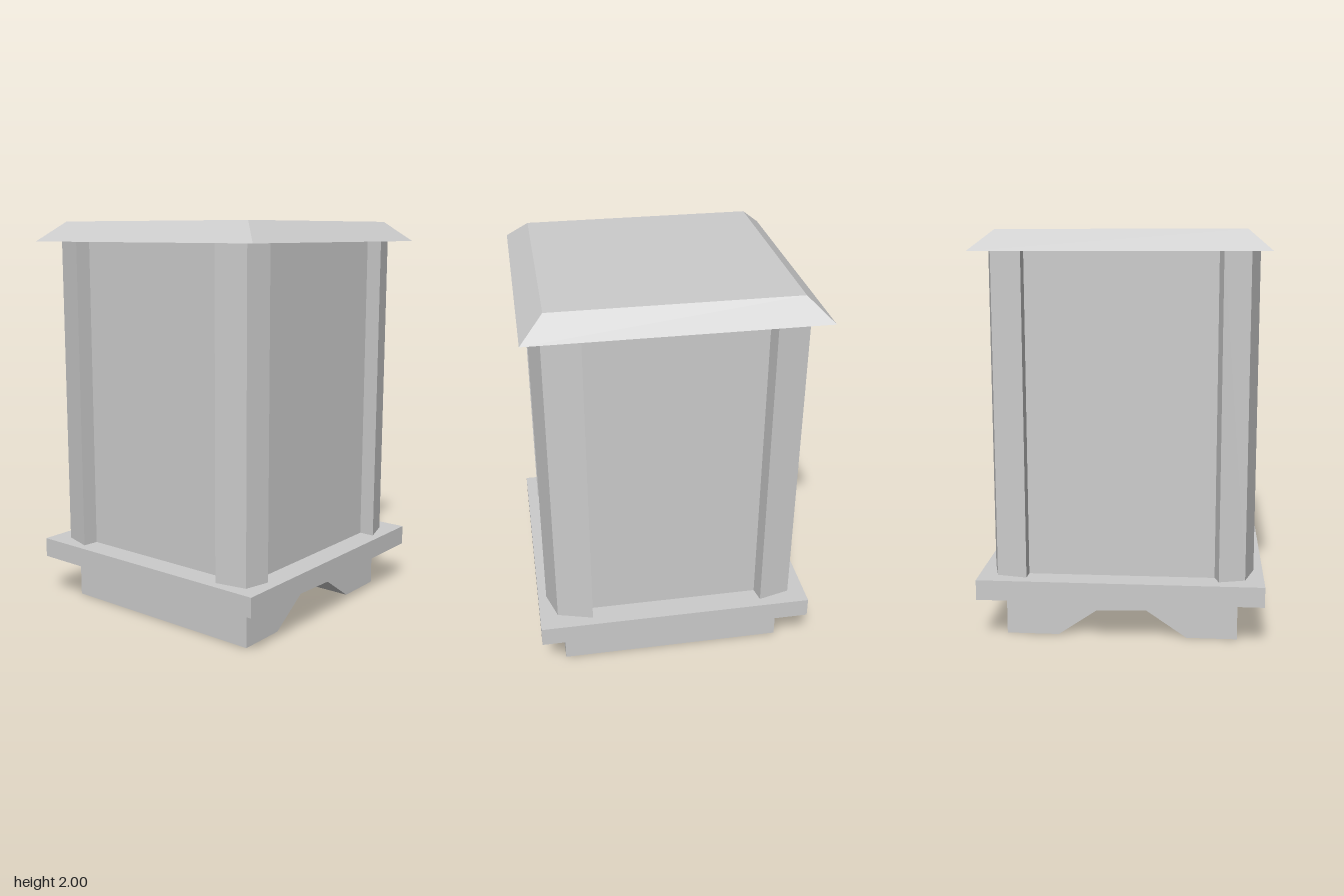
import * as THREE from 'three';

const material = new THREE.MeshStandardMaterial({ color: 0xcccccc, flatShading: true });

function add(group, name, geometry, x = 0, y = 0, z = 0) {
  const mesh = new THREE.Mesh(geometry, material);
  mesh.name = name;
  mesh.position.set(x, y, z);
  group.add(mesh);
  return mesh;
}

function extrude(points, depth) {
  const shape = new THREE.Shape(points.map(([x, y]) => new THREE.Vector2(x, y)));
  return new THREE.ExtrudeGeometry(shape, { depth, bevelEnabled: false });
}

export function createModel() {
  const group = new THREE.Group();
  const wallBottom = 0.32, wallTop = 1.9, wallHeight = wallTop - wallBottom;

  // Foot with an uneven arched passage running front to back
  const foot = [
    [-0.575, 0], [-0.325, 0], [-0.125, 0.137], [0.125, 0.13],
    [0.315, 0], [0.575, 0], [0.575, 0.22], [-0.575, 0.22],
  ];
  add(group, 'foot', extrude(foot, 1.14), 0, 0, -0.565);

  // Ledge and main body
  add(group, 'ledge', new THREE.BoxGeometry(1.4, 0.1, 1.394), 0, 0.27, 0);
  add(group, 'body', new THREE.BoxGeometry(1.15, wallHeight, 1.15), 0, wallBottom + wallHeight / 2, 0);

  // Slightly irregular corner posts, outlines given as [x, z]
  const posts = {
    frontLeftPost: [[0.445, 0.655], [0.60, 0.606], [0.65, 0.43], [0.45, 0.43]],
    frontRightPost: [[-0.495, 0.64], [-0.625, 0.61], [-0.655, 0.45], [-0.45, 0.42]],
    backLeftPost: [[0.65, -0.45], [0.608, -0.61], [0.46, -0.64], [0.45, -0.41]],
    backRightPost: [[-0.48, -0.637], [-0.608, -0.602], [-0.655, -0.445], [-0.41, -0.42]],
  };
  for (const [name, outline] of Object.entries(posts)) {
    const geometry = extrude(outline.map(([x, z]) => [x, -z]), wallHeight);
    geometry.rotateX(-Math.PI / 2);
    add(group, name, geometry, 0, wallBottom, 0);
  }

  // Roof slab with sloping edges
  const roof = new THREE.CylinderGeometry(0.588 * Math.SQRT2, 0.7 * Math.SQRT2, 0.1, 4);
  roof.rotateY(Math.PI / 4);
  add(group, 'roof', roof, 0, 1.95, 0).scale.z = 0.996;

  return group;
}
